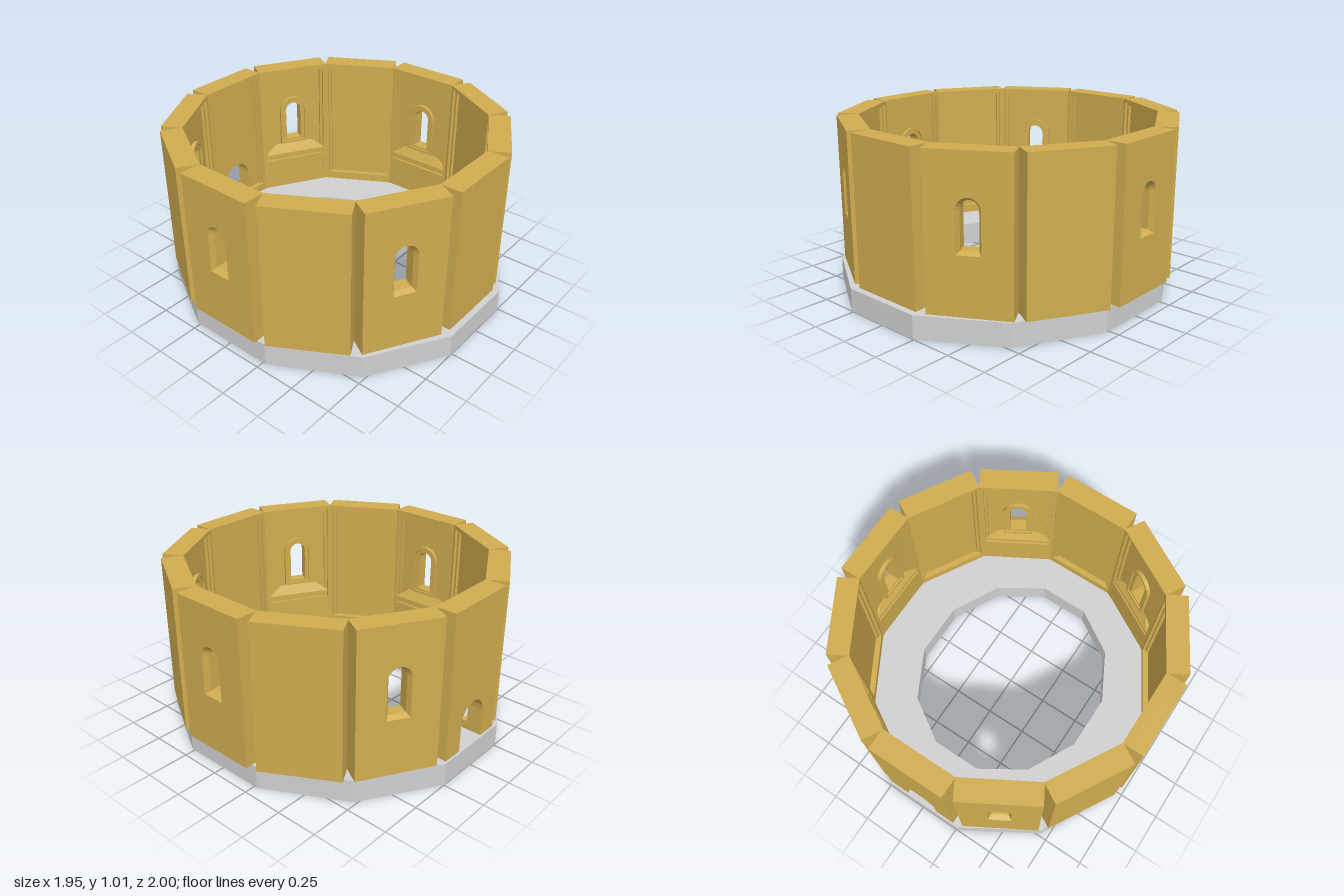
import * as THREE from 'three';
import { ConvexGeometry } from 'three/addons/geometries/ConvexGeometry.js';

const gold = new THREE.MeshStandardMaterial({ color: 0xd0ac50 });
gold.name = 'ochre stone';
const grey = new THREE.MeshStandardMaterial({ color: 0xd0d0d0 });
grey.name = 'grey stone';

// Panel section: z = 0 is the inner face, z = T the outer face
const W = 0.46, T = 0.127, RECESS = 0.035, Y0 = 0.138, Y1 = 1.008, R = 0.977;

function add(parent, name, geometry, material = gold) {
  const mesh = new THREE.Mesh(geometry, material);
  mesh.name = name;
  parent.add(mesh);
  return mesh;
}

function block(parent, name, x0, x1, y0, y1, z0, z1) {
  const g = new THREE.BoxGeometry(x1 - x0, y1 - y0, z1 - z0);
  g.translate((x0 + x1) / 2, (y0 + y1) / 2, (z0 + z1) / 2);
  return add(parent, name, g);
}

// Round-arched outline, counter-clockwise
function arch(half, bottom, spring, n = 10) {
  const pts = [new THREE.Vector2(-half, bottom), new THREE.Vector2(half, bottom)];
  for (let i = 0; i <= n; i++) {
    const a = Math.PI * i / n;
    pts.push(new THREE.Vector2(half * Math.cos(a), spring + half * Math.sin(a)));
  }
  return pts;
}

function rect(x, y0, y1) {
  return [[-x, y0], [x, y0], [x, y1], [-x, y1]].map(p => new THREE.Vector2(...p));
}

function slab(outline, hole, z0, z1) {
  const shape = new THREE.Shape(outline);
  if (hole) shape.holes.push(new THREE.Path(hole));
  const g = new THREE.ExtrudeGeometry(shape, { depth: z1 - z0, bevelEnabled: false });
  return g.translate(0, 0, z0);
}

// Sloping reveal joining a wide outline at zA to a narrow one at zB
function splay(a, zA, b, zB) {
  const pos = [];
  a.forEach((p, i) => {
    const j = (i + 1) % a.length, q = a[j], r = b[i], s = b[j];
    pos.push(p.x, p.y, zA, q.x, q.y, zA, r.x, r.y, zB);
    pos.push(q.x, q.y, zA, s.x, s.y, zB, r.x, r.y, zB);
  });
  const g = new THREE.BufferGeometry();
  g.setAttribute('position', new THREE.Float32BufferAttribute(pos, 3));
  g.computeVertexNormals();
  return g;
}

// Stepped rim around the recessed inner face
function innerRim(panel, bottomRail) {
  const h = W / 2;
  for (const [w, z, tag] of [[0.022, 0, 'Rim'], [0.04, 0.018, 'RimStep']]) {
    block(panel, 'left' + tag, h - w, h, Y0, Y1, z, RECESS);
    block(panel, 'right' + tag, -h, -h + w, Y0, Y1, z, RECESS);
    block(panel, 'top' + tag, -h + w, h - w, Y1 - w, Y1, z, RECESS);
  }
  if (bottomRail) block(panel, 'bottomRim', -h + 0.022, h - 0.022, Y0, 0.19, 0, RECESS);
}

function plainPanel(panel) {
  add(panel, 'wall', slab(rect(W / 2, Y0, Y1), null, RECESS, T));
  innerRim(panel, true);
}

function windowPanel(panel) {
  const opening = arch(0.05, 0.488, 0.703), wide = arch(0.066, 0.472, 0.706);
  const wall = rect(W / 2, Y0, Y1), step = T - 0.03;
  add(panel, 'wall', slab(wall, opening, RECESS, step));
  add(panel, 'wallFace', slab(wall, wide, step, T));
  add(panel, 'windowSplay', splay(wide, T, opening, step));
  innerRim(panel, false);
  // Stepped moulding around the window
  add(panel, 'windowMoulding', slab(arch(0.092, 0.46, 0.703), arch(0.076, 0.476, 0.703), 0.012, RECESS));
  add(panel, 'innerMoulding', slab(arch(0.076, 0.476, 0.703), opening, 0.024, RECESS));
  // Flared sill, ledge and solid base below
  const sill = [];
  for (const s of [-1, 1]) {
    sill.push(new THREE.Vector3(s * 0.115, 0.46, RECESS + 0.005));
    sill.push(new THREE.Vector3(s * 0.208, 0.39, 0.002), new THREE.Vector3(s * 0.208, 0.39, RECESS + 0.005));
  }
  add(panel, 'flaredSill', new ConvexGeometry(sill));
  block(panel, 'sillLedge', -0.208, 0.208, 0.37, 0.39, 0.002, RECESS);
  block(panel, 'groove', -0.208, 0.208, 0.345, 0.37, 0.018, RECESS);
  block(panel, 'baseBlock', -0.208, 0.208, Y0, 0.345, 0.002, RECESS);
}

function doorPanel(panel) {
  // Wall outline with the doorway cut up from its lower edge
  const h = W / 2, v = (x, y) => new THREE.Vector2(x, y);
  const doorway = arch(0.105, Y0, 0.305).slice(1);
  doorway.push(v(-0.105, Y0));
  const outline = [v(h, Y0), v(h, Y1), v(-h, Y1), v(-h, Y0), ...doorway.reverse()];
  add(panel, 'wall', slab(outline, null, RECESS, T));
  innerRim(panel, false);
  for (const s of [-1, 1]) {
    const x = [s * 0.105, s * 0.208].sort((a, b) => a - b);
    block(panel, 'doorBaseRail', x[0], x[1], Y0, 0.19, 0, RECESS);
  }
}

// Twelve-sided, slightly oval ring under the walls
function foundation() {
  const ring = (ax, az) => Array.from({ length: 12 }, (_, i) => {
    const a = Math.PI * (2 * i + 1) / 12, c = Math.cos(Math.PI / 12);
    return new THREE.Vector2(-0.01 + ax * Math.cos(a) / c, az * Math.sin(a) / c);
  });
  const g = slab(ring(0.945, 1), ring(0.577, 0.634), 0, 0.136);
  return g.rotateX(-Math.PI / 2);
}

export function createModel() {
  const model = new THREE.Group();
  model.name = 'roundTowerStorey';
  add(model, 'foundationRing', foundation(), grey);

  const walls = new THREE.Group();
  walls.name = 'walls';
  walls.position.z = -0.012;
  model.add(walls);

  // Windows alternate with plain panels; the doorway is at the back
  for (let i = 0; i < 12; i++) {
    const holder = new THREE.Group(), panel = new THREE.Group();
    holder.rotation.y = i * Math.PI / 6;
    panel.position.z = R - T;
    const kind = i === 6 ? 'door' : i % 2 ? 'window' : 'plain';
    panel.name = kind + 'Panel';
    holder.name = 'wallSegment';
    ({ door: doorPanel, window: windowPanel, plain: plainPanel })[kind](panel);
    holder.add(panel);
    walls.add(holder);
  }
  return model;
}
